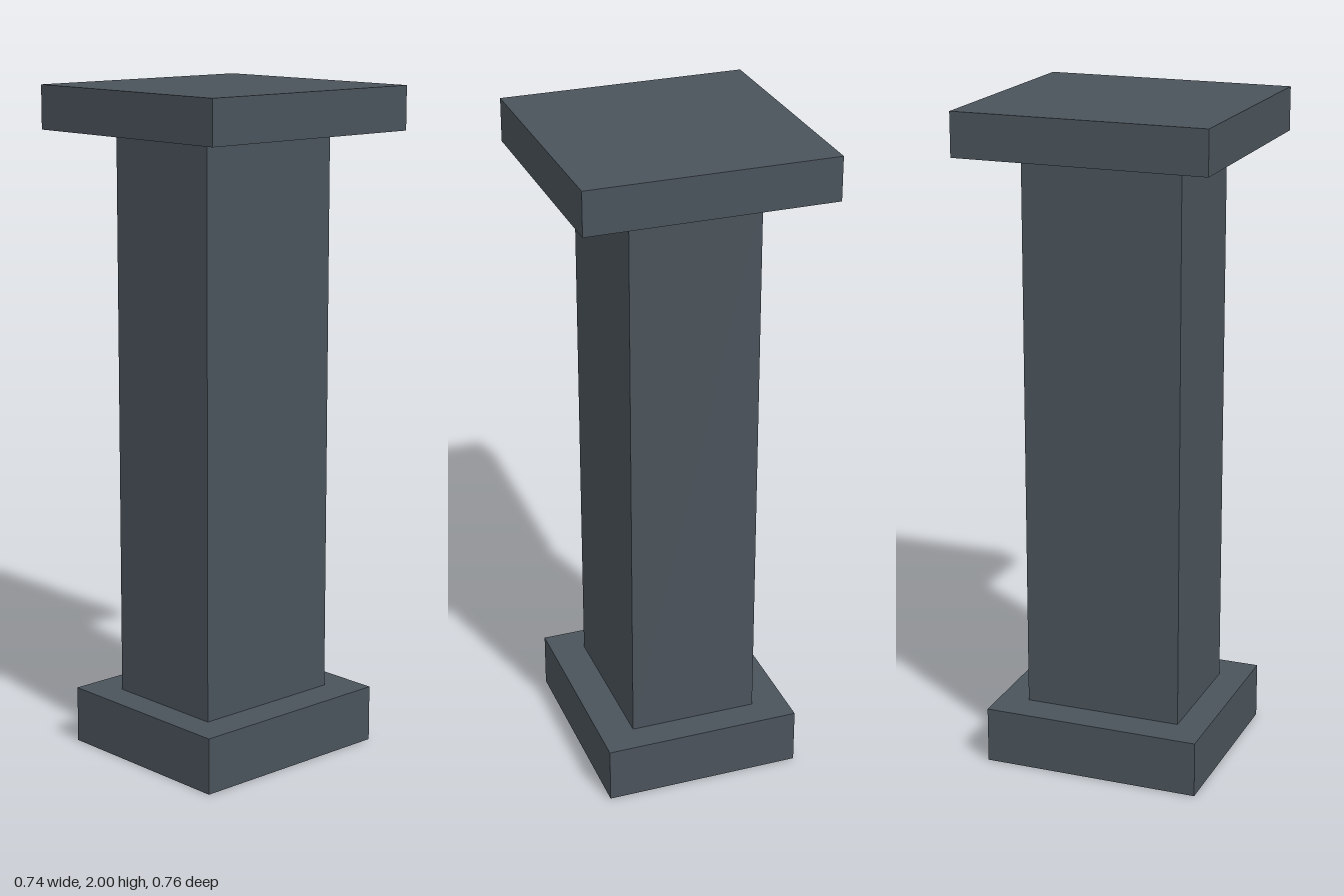
import * as THREE from 'three';

export function createModel() {
  const model = new THREE.Group();
  model.name = 'pillar';

  const stone = new THREE.MeshStandardMaterial({ color: 0x4a535b });
  stone.name = 'slate stone';

  // Add a centred block spanning bottom..top in height
  function block(name, width, depth, bottom, top) {
    const mesh = new THREE.Mesh(new THREE.BoxGeometry(width, top - bottom, depth), stone);
    mesh.name = name;
    mesh.position.y = (bottom + top) / 2;
    model.add(mesh);
  }

  block('base', 0.6, 0.665, 0, 0.17);
  block('shaft', 0.39, 0.483, 0.17, 1.87);
  block('cap', 0.738, 0.756, 1.87, 2);

  return model;
}
